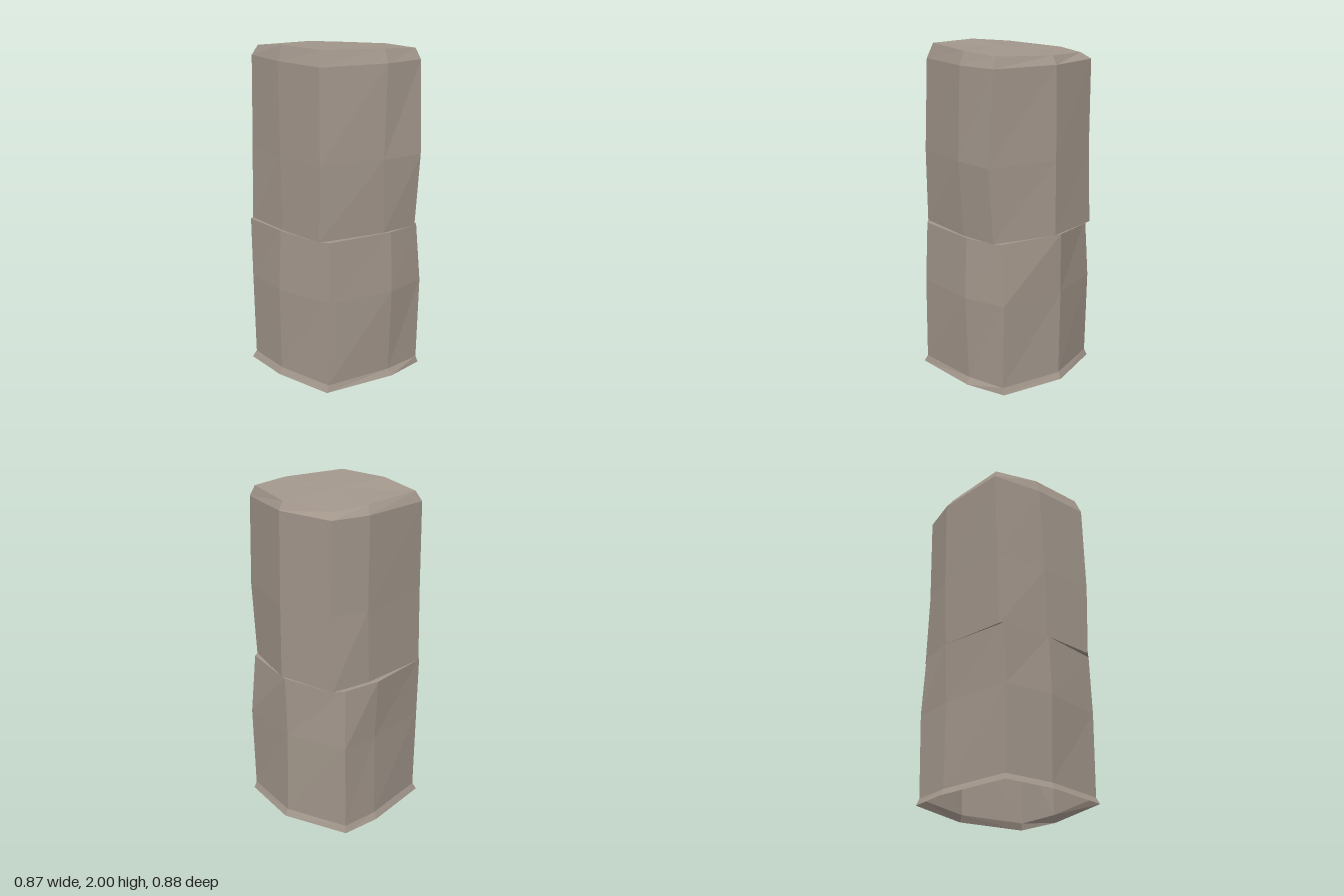
import * as THREE from 'three';

// Each ring: eight [x, z] points, corner / mid-side alternating, starting back right (-x, -z).
const base = [[-0.4, -0.36], [0.06, -0.44], [0.31, -0.425], [0.43, -0.02], [0.335, 0.385], [0.07, 0.425], [-0.385, 0.35], [-0.435, -0.04]];
const foot = [[-0.38, -0.345], [0.06, -0.42], [0.3, -0.41], [0.41, -0.02], [0.32, 0.38], [0.06, 0.4], [-0.365, 0.34], [-0.415, -0.04]];
const lowerMid = [[-0.39, -0.35], [0.06, -0.415], [0.31, -0.415], [0.41, -0.03], [0.335, 0.385], [0.06, 0.425], [-0.36, 0.345], [-0.425, -0.04]];
const lowerTop = [[-0.39, -0.36], [0.06, -0.435], [0.295, -0.4], [0.415, -0.02], [0.305, 0.375], [0.06, 0.41], [-0.35, 0.335], [-0.41, -0.04]];
const upperBottom = [[-0.365, -0.375], [0.1, -0.4], [0.36, -0.36], [0.405, 0.02], [0.265, 0.4], [0.02, 0.39], [-0.39, 0.29], [-0.395, -0.04]];
const upperMid = [[-0.35, -0.38], [0.12, -0.405], [0.355, -0.345], [0.405, 0.02], [0.265, 0.44], [0, 0.41], [-0.39, 0.3], [-0.395, -0.05]];
const shoulder = [[-0.335, -0.39], [0.12, -0.41], [0.355, -0.35], [0.4, 0.02], [0.28, 0.41], [0.02, 0.41], [-0.38, 0.285], [-0.385, -0.075]];
const crown = [[-0.31, -0.36], [0.1, -0.375], [0.295, -0.325], [0.37, 0.02], [0.265, 0.38], [0.025, 0.38], [-0.345, 0.265], [-0.355, -0.075]];
// The crown is uneven, highest on its right side.
const crownHeights = [1.97, 1.96, 1.945, 1.96, 1.975, 1.99, 2, 2];

const ring = (points, y) => points.map(([x, z], i) => [x, Array.isArray(y) ? y[i] : y, z]);

// Skins a stack of rings from bottom to top, optionally closed by a fan to an apex.
function loft(rings, apex) {
  const n = rings[0].length;
  const positions = rings.flat(2);
  const index = [];
  for (let j = 0; j < rings.length - 1; j++) {
    for (let i = 0; i < n; i++) {
      const k = (i + 1) % n;
      const a = j * n + i, b = j * n + k, c = a + n, d = b + n;
      index.push(b, a, c, b, c, d);
    }
  }
  if (apex) {
    const first = (rings.length - 1) * n;
    positions.push(...apex);
    for (let i = 0; i < n; i++) index.push(rings.length * n, first + (i + 1) % n, first + i);
  }
  const geometry = new THREE.BufferGeometry();
  geometry.setAttribute('position', new THREE.Float32BufferAttribute(positions, 3));
  geometry.setIndex(index);
  const flat = geometry.toNonIndexed();
  flat.computeVertexNormals();
  return flat;
}

export function createModel() {
  const group = new THREE.Group();
  group.name = 'stonePillar';
  const stone = new THREE.MeshStandardMaterial({ color: 0xa3978c, flatShading: true, side: THREE.DoubleSide });
  stone.name = 'stone';
  const add = (name, geometry) => {
    const mesh = new THREE.Mesh(geometry, stone);
    mesh.name = name;
    group.add(mesh);
  };

  // Lower block, open underneath, with a flared foot
  add('lowerBlock', loft([ring(base, 0), ring(foot, 0.04), ring(lowerMid, 0.55), ring(lowerTop, 0.915)]));
  // Narrow step where the two blocks meet
  add('seamLedge', loft([ring(lowerTop, 0.915), ring(upperBottom, 0.915)]));
  // Upper block with bevelled, slightly sloping crown
  add('upperBlock', loft(
    [ring(upperBottom, 0.915), ring(upperMid, 1.36), ring(shoulder, 1.91), ring(crown, crownHeights)],
    [-0.02, 1.978, -0.02]));

  return group;
}
